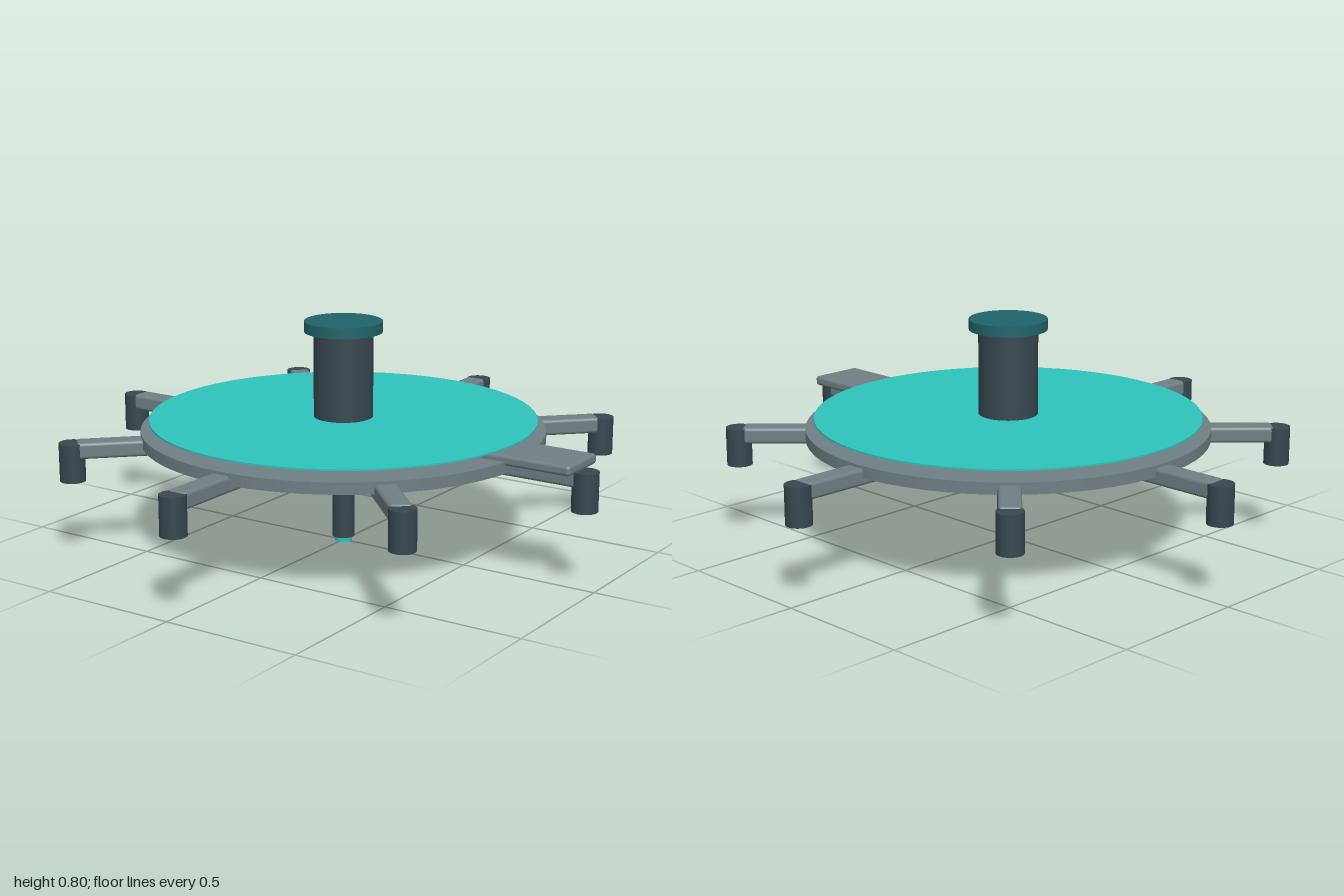
import * as THREE from 'three';
import { RoundedBoxGeometry } from 'three/addons/geometries/RoundedBoxGeometry.js';

const mat = (color) => new THREE.MeshStandardMaterial({ color });

export function createModel() {
  const model = new THREE.Group();
  const grey = mat(0x6f7f84), dark = mat(0x37474f), teal = mat(0x2ec4bc), deepTeal = mat(0x20646a);

  const add = (parent, name, geometry, material, x, y, z) => {
    const mesh = new THREE.Mesh(geometry, material);
    mesh.name = name;
    mesh.position.set(x, y, z);
    parent.add(mesh);
    return mesh;
  };
  // upright cylinder given by its radius and its bottom and top heights
  const disc = (parent, name, r, y0, y1, material, x = 0, segments = 64) =>
    add(parent, name, new THREE.CylinderGeometry(r, r, y1 - y0, segments), material, x, (y0 + y1) / 2, 0);

  // stacked plates
  disc(model, 'mainPlate', 0.715, 0.385, 0.426, grey);
  disc(model, 'raisedPlate', 0.46, 0.426, 0.439, dark);
  disc(model, 'lowerSurface', 0.49, 0.449, 0.455, teal);
  disc(model, 'topSurface', 0.685, 0.455, 0.461, teal);

  // central column with cap
  disc(model, 'column', 0.105, 0.435, 0.77, dark, 0, 48);
  disc(model, 'columnCap', 0.138, 0.765, 0.803, deepTeal, 0, 48);

  // post below with glowing tip
  disc(model, 'lowerPost', 0.04, 0.018, 0.39, dark, 0, 32);
  disc(model, 'postTip', 0.03, 0, 0.02, teal, 0, 32);

  // eight radial arms, each ending in a short foot
  for (let i = 0; i < 8; i++) {
    const arm = new THREE.Group();
    arm.name = 'arm' + (i + 1);
    add(arm, 'armBar', new RoundedBoxGeometry(0.34, 0.058, 0.076, 3, 0.012), grey, 0.768, 0.387, 0);
    disc(arm, 'armFoot', 0.045, 0.275, 0.411, dark, 0.955, 32);
    arm.rotation.y = (i * Math.PI) / 4;
    model.add(arm);
  }

  // broad paddle on the left side
  add(model, 'paddle', new RoundedBoxGeometry(0.5, 0.036, 0.2, 3, 0.012), grey, 0.695, 0.43, 0);

  return model;
}
